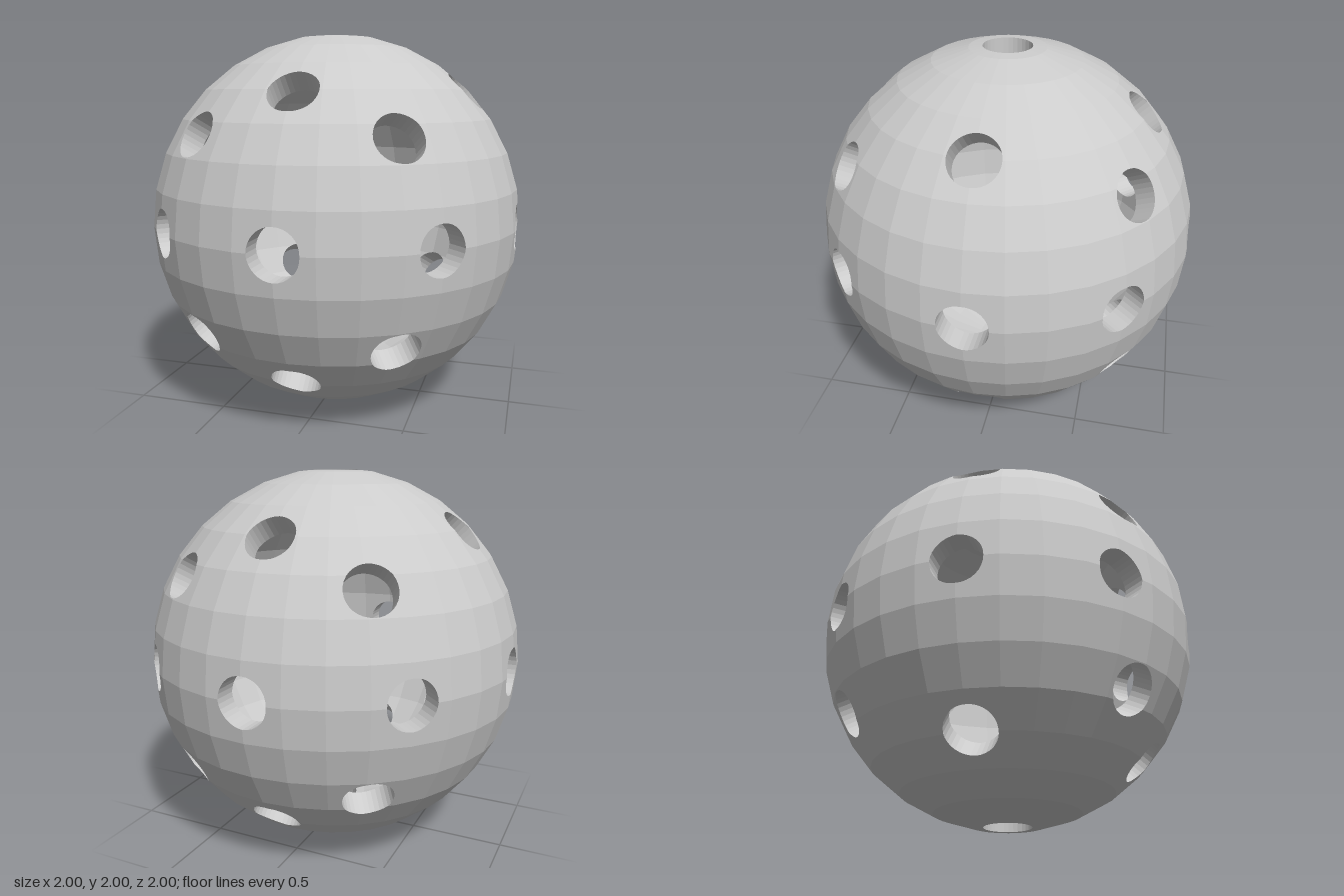
import * as THREE from 'three';

const OUTER = 1.0125, INNER = 0.892; // radii of the hollow shell
const HOLE = 0.1266, SIDES = 32; // radius and sides of each drilled hole

// Hole directions: 6 axes, 12 diagonals between axes, 8 in the octants
function holeDirections() {
  const dirs = [];
  for (const x of [-1, 0, 1]) for (const y of [-1, 0, 1]) for (const z of [-1, 0, 1]) {
    if (!x && !y && !z) continue;
    const depth = x && y && z ? Math.SQRT2 : 1;
    dirs.push(new THREE.Vector3(x, y, z * depth).normalize());
  }
  return dirs;
}

// A hole is a prism: its axis, its corner lines and its side planes
function makeHole(dir) {
  const ref = Math.abs(dir.y) > 0.9 ? new THREE.Vector3(1, 0, 0) : new THREE.Vector3(0, 1, 0);
  const u = ref.addScaledVector(dir, -ref.dot(dir)).normalize();
  const v = dir.clone().cross(u);
  const around = (k) => {
    const a = (k / SIDES) * Math.PI * 2;
    return u.clone().multiplyScalar(Math.cos(a)).addScaledVector(v, Math.sin(a));
  };
  const corners = [], normals = [];
  for (let i = 0; i < SIDES; i++) {
    corners.push(around(i).multiplyScalar(HOLE));
    normals.push(around(i + 0.5));
  }
  return { dir, corners, normals, reach: HOLE * Math.cos(Math.PI / SIDES) };
}

// Flat triangles of a faceted sphere
function sphereFacets(radius) {
  const p = new THREE.SphereGeometry(radius, 32, 16).toNonIndexed().attributes.position;
  const facets = [];
  for (let i = 0; i < p.count; i += 3) {
    facets.push([0, 1, 2].map((k) => new THREE.Vector3().fromBufferAttribute(p, i + k)));
  }
  return facets;
}

// Split a convex polygon by a plane into the parts inside and outside it
function split(poly, normal, reach) {
  const inside = [], outside = [];
  poly.forEach((a, i) => {
    const b = poly[(i + 1) % poly.length];
    const da = a.dot(normal) - reach, db = b.dot(normal) - reach;
    if (da <= 1e-9) inside.push(a);
    if (da >= -1e-9) outside.push(a);
    if ((da < -1e-9 && db > 1e-9) || (da > 1e-9 && db < -1e-9)) {
      const cut = a.clone().lerp(b, da / (da - db));
      inside.push(cut);
      outside.push(cut);
    }
  });
  return [inside, outside];
}

function area(poly) {
  const sum = new THREE.Vector3();
  for (let i = 1; i + 1 < poly.length; i++) {
    sum.add(poly[i].clone().sub(poly[0]).cross(poly[i + 1].clone().sub(poly[0])));
  }
  return sum.length() / 2;
}

// Remove the hole from one polygon, leaving convex pieces
function drill(poly, hole) {
  const pieces = [];
  let rest = poly;
  for (const n of hole.normals) {
    const [inside, outside] = split(rest, n, hole.reach);
    if (outside.length > 2 && area(outside) > 1e-10) pieces.push(outside);
    if (inside.length < 3 || area(inside) < 1e-10) return [poly];
    rest = inside;
  }
  return pieces;
}

function drilledSphere(facets, holes) {
  const result = [];
  for (const facet of facets) {
    const middle = facet[0].clone().add(facet[1]).add(facet[2]).normalize();
    let pieces = [facet];
    for (const hole of holes) {
      if (middle.dot(hole.dir) > 0.9) pieces = pieces.flatMap((p) => drill(p, hole));
    }
    result.push(...pieces);
  }
  return result;
}

// Where the corner lines of a hole leave the faceted sphere
function rim(hole, facets) {
  const planes = facets.map(([a, b, c]) => new THREE.Plane().setFromCoplanarPoints(a, b, c));
  return hole.corners.map((p) => {
    let t = Infinity;
    for (const plane of planes) {
      const slope = plane.normal.dot(hole.dir);
      if (slope > 0.1) t = Math.min(t, -plane.distanceToPoint(p) / slope);
    }
    return p.clone().addScaledVector(hole.dir, t);
  });
}

function meshFrom(polygons, name, material) {
  const pos = [];
  for (const poly of polygons) {
    for (let i = 1; i + 1 < poly.length; i++) {
      for (const p of [poly[0], poly[i], poly[i + 1]]) pos.push(p.x, p.y, p.z);
    }
  }
  const geometry = new THREE.BufferGeometry();
  geometry.setAttribute('position', new THREE.Float32BufferAttribute(pos, 3));
  geometry.computeVertexNormals();
  const mesh = new THREE.Mesh(geometry, material);
  mesh.name = name;
  return mesh;
}

export function createModel() {
  const material = new THREE.MeshStandardMaterial({ color: 0xcccccc, flatShading: true });
  const holes = holeDirections().map(makeHole);
  const outer = sphereFacets(OUTER), inner = sphereFacets(INNER);

  const ball = new THREE.Group();
  ball.name = 'perforatedBall';
  ball.position.y = 1;

  // Outside and inside of the shell
  ball.add(meshFrom(drilledSphere(outer, holes), 'outerShell', material));
  const lining = drilledSphere(inner, holes).map((p) => [...p].reverse());
  ball.add(meshFrom(lining, 'innerShell', material));

  // Walls of the holes, joining the two surfaces
  const walls = new THREE.Group();
  walls.name = 'holeWalls';
  for (const hole of holes) {
    const a = rim(hole, outer), b = rim(hole, inner);
    const quads = a.map((p, i) => {
      const j = (i + 1) % SIDES;
      return [p, a[j], b[j], b[i]];
    });
    walls.add(meshFrom(quads, 'holeWall', material));
  }
  ball.add(walls);

  const model = new THREE.Group();
  model.add(ball);
  return model;
}
